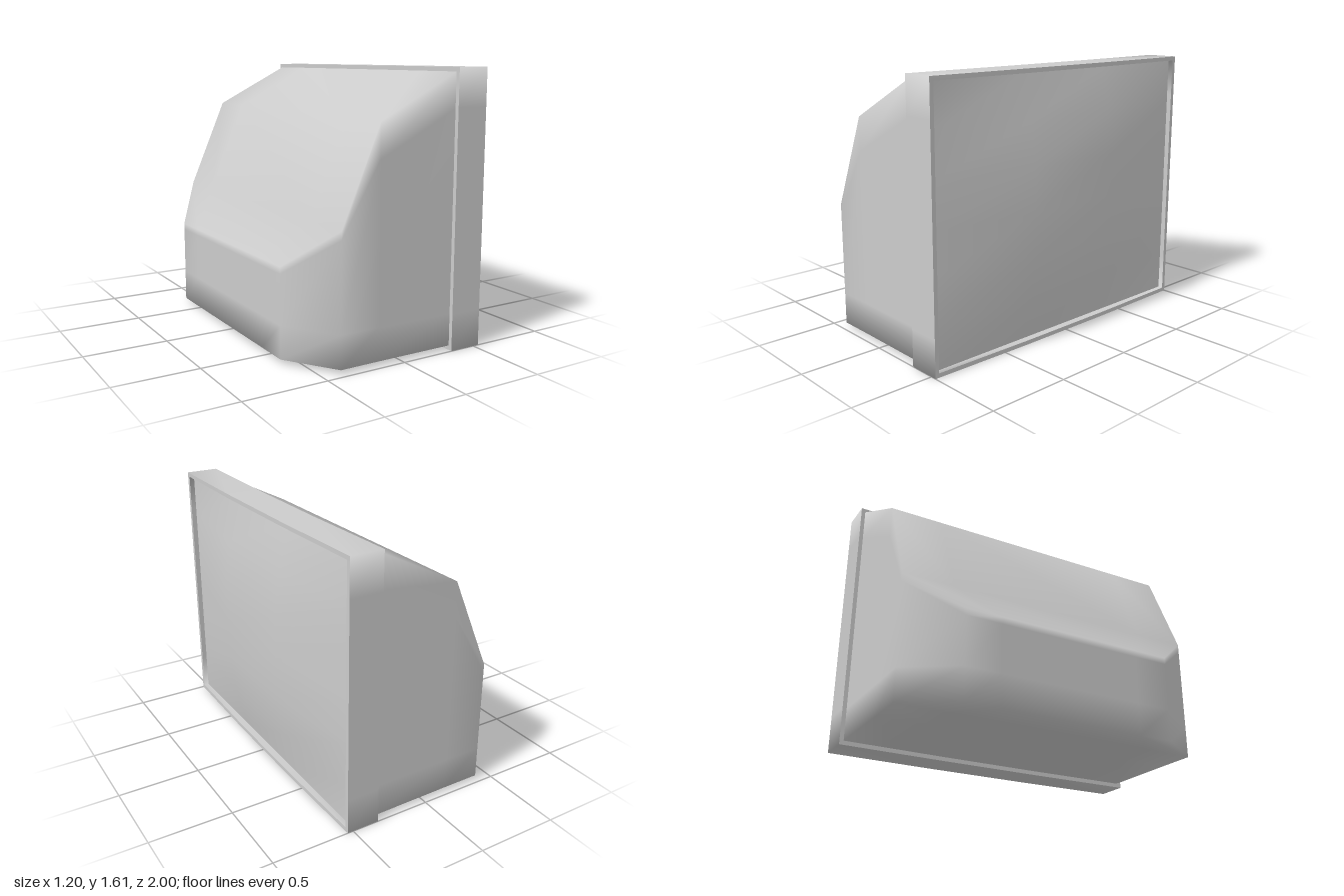
import * as THREE from 'three';
import { mergeGeometries, mergeVertices } from 'three/addons/utils/BufferGeometryUtils.js';

const grey = new THREE.MeshStandardMaterial({ color: 0xcccccc, side: THREE.DoubleSide });

function part(name, geometry) {
  const mesh = new THREE.Mesh(geometry, grey);
  mesh.name = name;
  return mesh;
}

// Tapered housing: a box grid whose columns follow the side and top outlines
function housingGeometry() {
  // x, height of top edge, half width, shoulder drop below the top edge
  const stations = [
    [-0.6, 0.55, 0.67, 0.04],
    [-0.4, 0.78, 0.97, 0.05],
    [-0.16, 1.335, 0.97, 0.2],
    [0.335, 1.585, 0.975, 0.2],
    [0.45, 1.585, 0.975, 0.2],
  ];
  let geo = new THREE.BoxGeometry(4, 3, 3, 4, 3, 3);
  geo.deleteAttribute('uv');
  geo.deleteAttribute('normal');
  geo = mergeVertices(geo);
  const p = geo.attributes.position;
  for (let i = 0; i < p.count; i++) {
    const [x, top, half, drop] = stations[Math.round(p.getX(i) + 2)];
    const row = Math.round(p.getY(i) + 1.5);
    const y = [0.027, 0.22, top - drop, top][row];
    const z = half * [-1, -0.67, 0.67, 1][Math.round(p.getZ(i) + 1.5)];
    p.setXYZ(i, x, y, z);
  }
  geo.computeVertexNormals();
  return geo;
}

// Rectangular ring at x; its top and bottom runs bow slightly forward in the middle
function ring(x, half, low, high) {
  const a = half / 3, m = 0.22, bow = x + 0.012;
  return [
    [x, low, -half], [x, low + m, -half], [x, high - m, -half],
    [x, high, -half], [bow, high, -a], [bow, high, a],
    [x, high, half], [x, high - m, half], [x, low + m, half],
    [x, low, half], [bow, low, a], [bow, low, -a],
  ];
}

// Smooth strip joining two rings
function strip(from, to) {
  const n = from.length, index = [];
  for (let i = 0; i < n; i++) {
    const j = (i + 1) % n;
    index.push(i, j, n + i, j, n + j, n + i);
  }
  const geo = new THREE.BufferGeometry();
  geo.setAttribute('position', new THREE.Float32BufferAttribute([...from, ...to].flat(), 3));
  geo.setIndex(index);
  geo.computeVertexNormals();
  return geo;
}

// Bezel: outer band, front rim, inner wall and back lip
function bezelGeometry() {
  const outer = (x) => ring(x, 1, 0, 1.61);
  const inner = (x) => ring(x, 0.975, 0.025, 1.585);
  const back = 0.335, front = 0.536;
  return mergeGeometries([
    strip(outer(back), outer(front)),
    strip(outer(front), inner(front)),
    strip(inner(front), inner(0.49)),
    strip(inner(back), outer(back)),
  ]);
}

// Bulged glass: a sheet pushed forward towards its middle
function screenGeometry() {
  const geo = new THREE.PlaneGeometry(1.95, 1.56, 3, 6);
  geo.rotateY(Math.PI / 2);
  const p = geo.attributes.position;
  const rise = [0, 0.63, 1, 1, 1, 0.63, 0];
  for (let i = 0; i < p.count; i++) {
    const across = Math.abs(p.getZ(i)) < 0.5 ? 1 : 0;
    const up = rise[Math.round((p.getY(i) + 0.78) / 0.26)];
    p.setX(i, 0.505 + 0.095 * across * up);
    p.setY(i, p.getY(i) + 0.805);
  }
  geo.computeVertexNormals();
  return geo;
}

export function createModel() {
  const group = new THREE.Group();
  group.name = 'monitor';
  group.add(
    part('housing', housingGeometry()),
    part('bezel', bezelGeometry()),
    part('screen', screenGeometry()),
  );
  return group;
}
